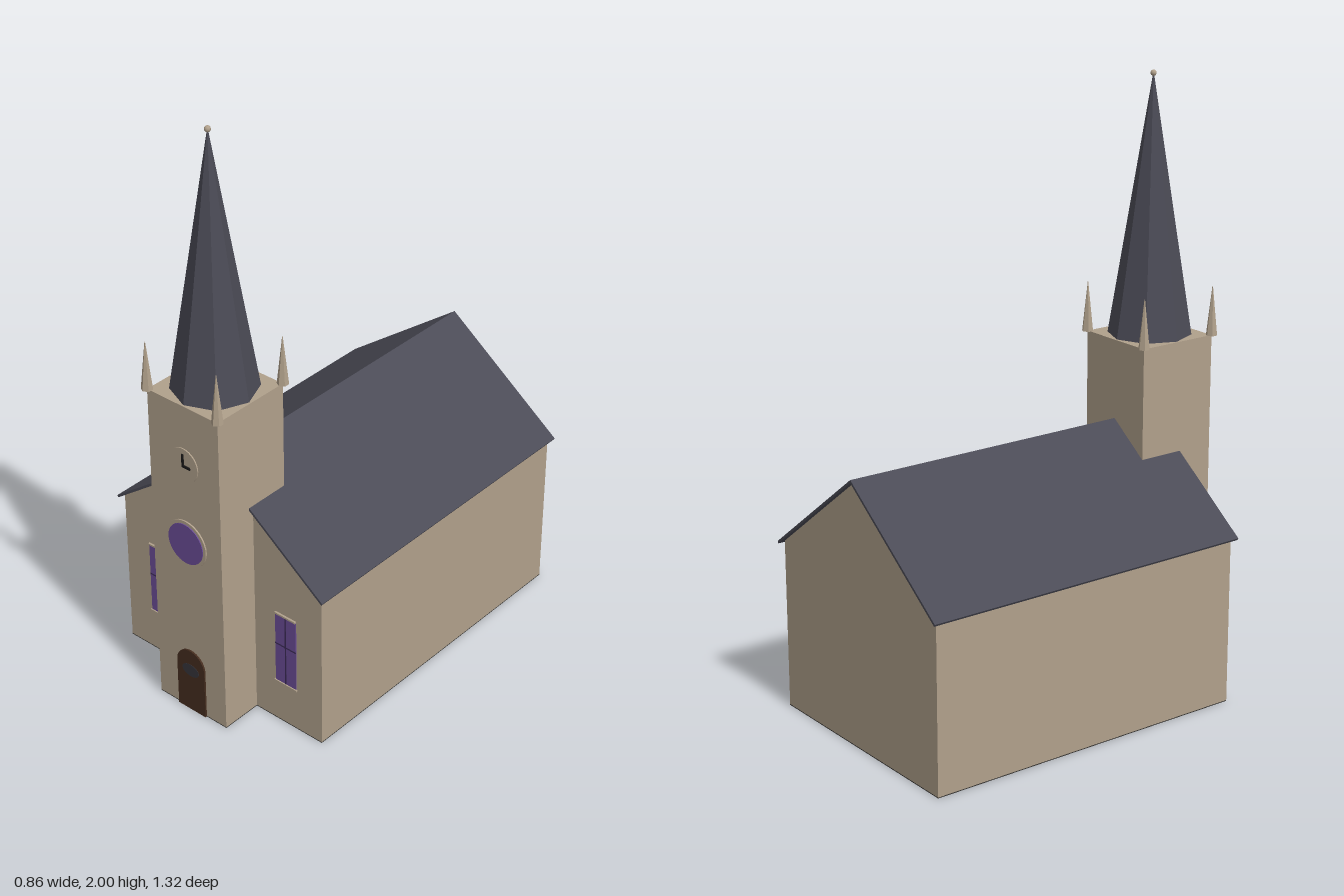
import * as THREE from 'three';

const mat = (name, color) => {
  const m = new THREE.MeshStandardMaterial({ color });
  m.name = name;
  return m;
};

export function createModel() {
  const stone = mat('stone', 0xb0a08b);
  const slate = mat('slate', 0x4b4b56);
  const glass = mat('violet glass', 0x6a4c96);
  const wood = mat('dark wood', 0x452d1f);
  const iron = mat('black iron', 0x191817);
  const lead = mat('window bars', 0x3c2b57);
  const fitting = mat('door fitting', 0x35343a);
  const footing = mat('dark footing', 0x383633);

  const model = new THREE.Group();
  model.name = 'church';

  const add = (name, geometry, material, x = 0, y = 0, z = 0, parent = model) => {
    const mesh = new THREE.Mesh(geometry, material);
    mesh.name = name;
    mesh.position.set(x, y, z);
    parent.add(mesh);
    return mesh;
  };
  const box = (w, h, d) => new THREE.BoxGeometry(w, h, d);
  const extrude = (points, depth) => new THREE.ExtrudeGeometry(
    new THREE.Shape(points.map(([x, y]) => new THREE.Vector2(x, y))),
    { depth, bevelEnabled: false });
  // Faceted cone with flat normals
  const cone = (top, bottom, height, sides) => {
    const g = new THREE.CylinderGeometry(top, bottom, height, sides).toNonIndexed();
    g.computeVertexNormals();
    return g;
  };
  // Round plate facing the front
  const disc = (r, d) => new THREE.CylinderGeometry(r, r, d, 32).rotateX(Math.PI / 2);

  // Nave with gables, standing on a thin dark footing
  const base = 0.003, naveBack = -0.645, naveFront = 0.497;
  const naveDepth = naveFront - naveBack;
  add('nave', extrude(
    [[-0.415, base], [0.415, base], [0.415, 0.566], [0, 0.875], [-0.415, 0.566]], naveDepth),
  stone, 0, 0, naveBack);
  add('naveFooting', box(0.83, base, naveDepth), footing, 0, base / 2, (naveFront + naveBack) / 2);

  // Thin overhanging pitched roof
  add('naveRoof', extrude(
    [[-0.432, 0.563], [-0.428, 0.556], [0, 0.875], [0.428, 0.556], [0.432, 0.563], [0, 0.885]], 1.175),
  slate, 0, 0, -0.661);

  // Tower, spire and finial
  const tz = 0.498, half = 0.142, front = tz + half, top = 1.147;
  add('tower', box(half * 2, top - base, half * 2), stone, 0, (top + base) / 2, tz);
  add('towerFooting', box(half * 2, base, half), footing, 0, base / 2, tz + half / 2);
  add('spire', cone(0.002, 0.136, 0.838, 8), slate, 0, top + 0.419, tz);
  add('finial', new THREE.SphereGeometry(0.01, 12, 8), stone, 0, 1.99, tz);

  // Corner pinnacles
  for (const sx of [-1, 1]) for (const sz of [-1, 1]) {
    add('pinnacle', cone(0.001, 0.019, 0.163, 6), stone, sx * half, top + 0.0815, tz + sz * half);
  }

  // Rose window with stone surround
  add('roseSurround', disc(0.082, 0.01), stone, 0, 0.652, front);
  add('roseGlass', disc(0.071, 0.008), glass, 0, 0.652, front + 0.004);

  // Clock
  add('clockFace', disc(0.058, 0.008), stone, 0, 0.94, front);
  add('minuteHand', box(0.007, 0.045, 0.004), iron, 0, 0.957, front + 0.006);
  add('hourHand', box(0.032, 0.008, 0.004), iron, 0.013, 0.938, front + 0.006);

  // Arched door
  const doorShape = new THREE.Shape();
  doorShape.moveTo(-0.058, 0);
  doorShape.lineTo(0.058, 0);
  doorShape.lineTo(0.058, 0.178);
  doorShape.absarc(0, 0.178, 0.058, 0, Math.PI, false);
  add('door', new THREE.ExtrudeGeometry(doorShape, { depth: 0.006, bevelEnabled: false, curveSegments: 16 }),
    wood, 0, 0, front);
  add('doorFitting', disc(0.035, 0.002).scale(1, 0.65, 1), fitting, 0, 0.16, front + 0.006);

  // Front windows with bars, sill and lintel
  for (const side of [-1, 1]) {
    const win = new THREE.Group();
    win.name = side > 0 ? 'leftWindow' : 'rightWindow';
    win.position.set(side * 0.27, 0.288, naveFront);
    model.add(win);
    add('pane', box(0.084, 0.262, 0.004), glass, 0, 0, 0.001, win);
    add('mullion', box(0.005, 0.262, 0.002), lead, 0, 0, 0.003, win);
    add('crossbar', box(0.084, 0.005, 0.002), lead, 0, 0.016, 0.003, win);
    add('sill', box(0.09, 0.006, 0.012), stone, 0, -0.132, 0.001, win);
    add('lintel', box(0.084, 0.006, 0.012), stone, 0, 0.134, 0.001, win);
  }
  return model;
}
